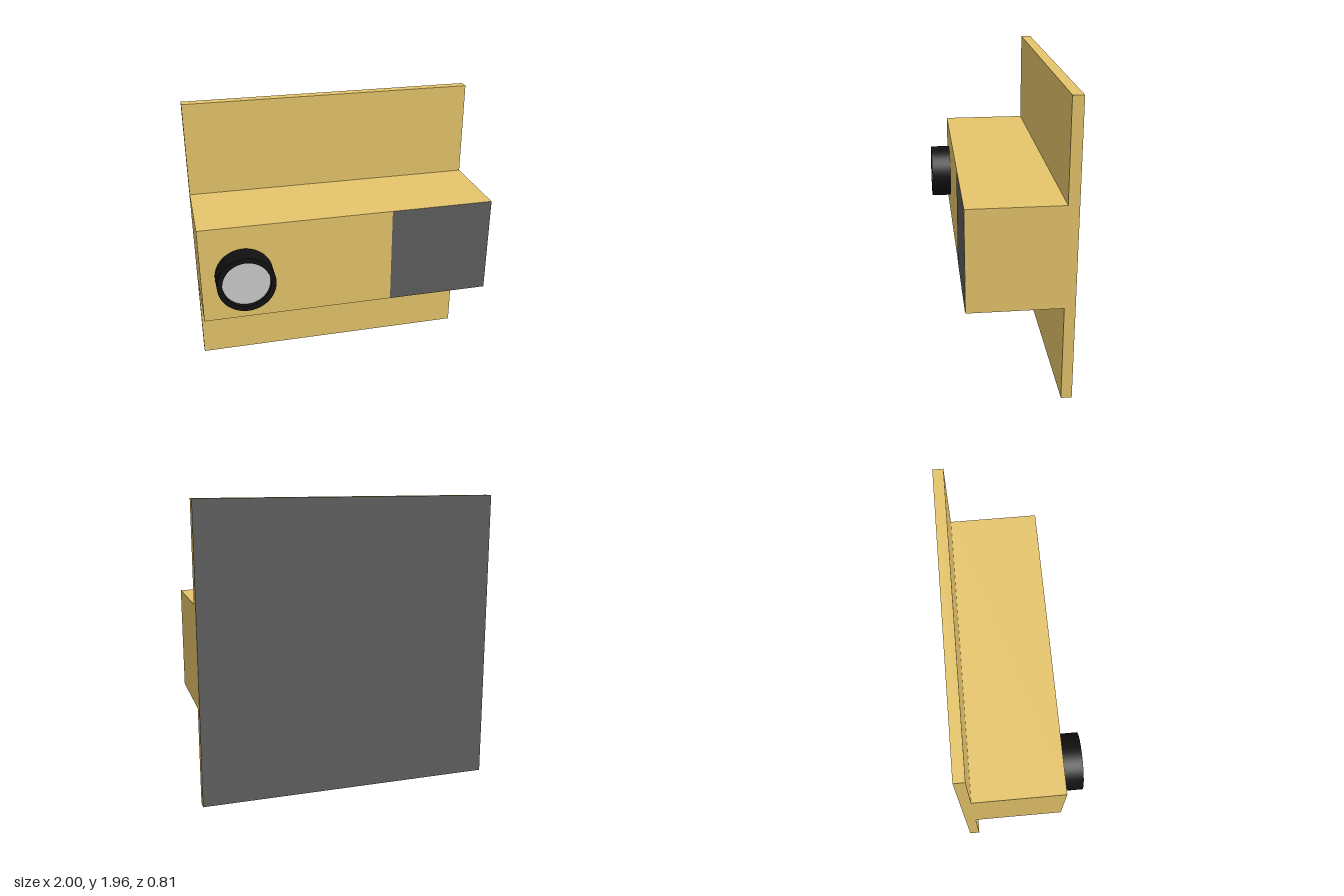
import * as THREE from 'three';

const material = (color) => new THREE.MeshStandardMaterial({ color });

export function createModel() {
  const model = new THREE.Group();
  const tan = material(0xe6c56b);
  const dark = material(0x5e5e5e);
  const black = material(0x111111);
  const grey = material(0xcccccc);

  const add = (name, geometry, mat, x, y, z) => {
    const mesh = new THREE.Mesh(geometry, mat);
    mesh.name = name;
    mesh.position.set(x, y, z);
    model.add(mesh);
    return mesh;
  };

  // Square wall plate with a dark rear face
  add('backPlate', new THREE.BoxGeometry(2, 1.96, 0.07),
    [tan, tan, tan, tan, tan, dark], 0, 0.98, -0.37);

  // Long housing across the middle of the plate
  add('housing', new THREE.BoxGeometry(2, 0.67, 0.6), tan, 0, 0.98, -0.035);

  // Dark panel flush with the housing front
  add('frontPanel', new THREE.PlaneGeometry(0.705, 0.67), dark, 0.6475, 0.98, 0.266);

  // Round black barrel: outer wall, flat rim and shallow recess
  const profile = [[0.1925, 0], [0.1925, 0.14], [0.1925, 0.14], [0.158, 0.14], [0.158, 0.14], [0.158, 0.105]]
    .map(([r, h]) => new THREE.Vector2(r, h));
  const barrel = add('lensBarrel', new THREE.LatheGeometry(profile, 64), black, -0.715, 0.965, 0.265);
  barrel.rotation.x = Math.PI / 2;
  barrel.material.side = THREE.DoubleSide;

  // Grey disc set just inside the rim
  add('lens', new THREE.CircleGeometry(0.158, 64), grey, -0.715, 0.965, 0.375);

  return model;
}
